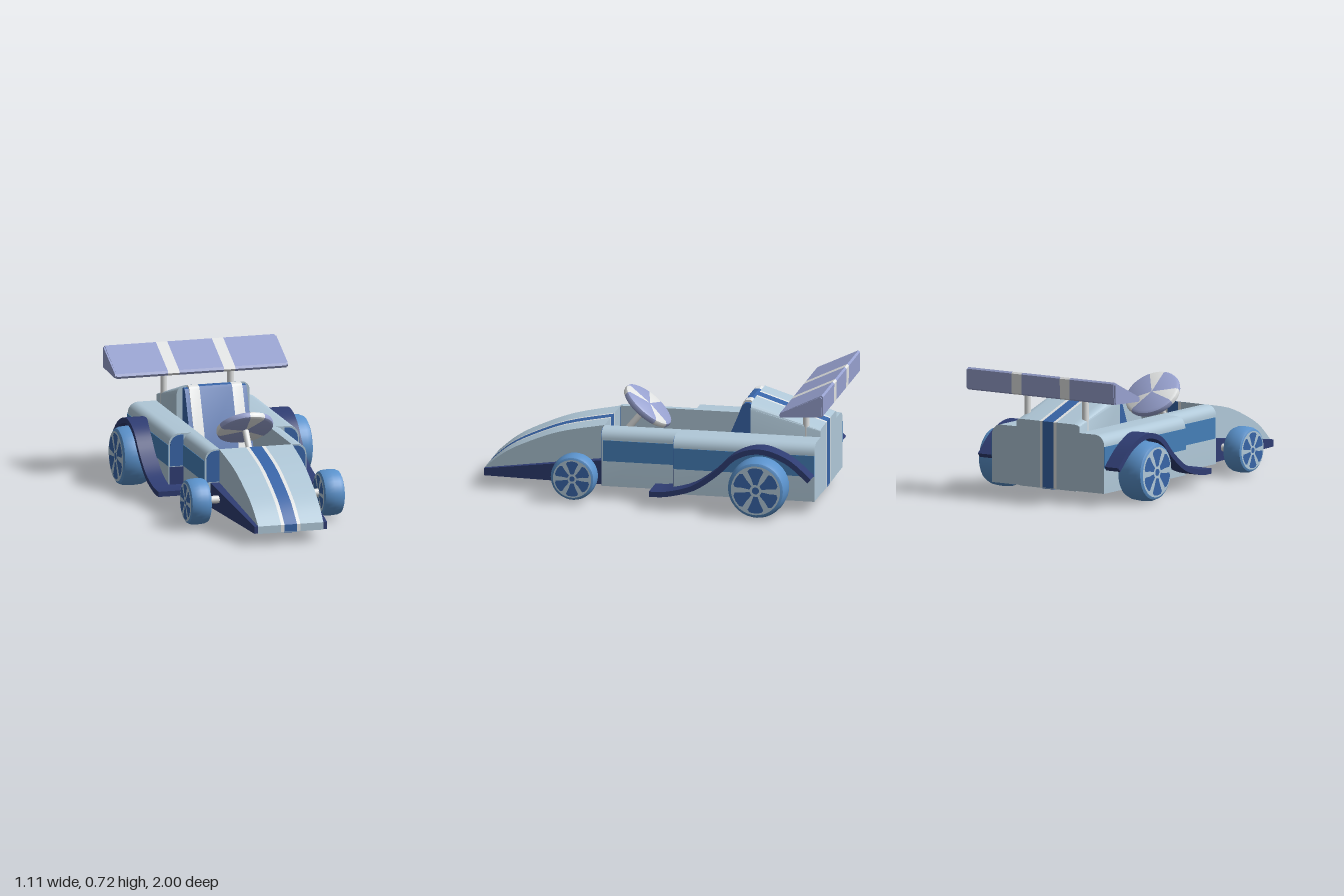
import * as THREE from 'three';
import { toCreasedNormals } from 'three/addons/utils/BufferGeometryUtils.js';

const mat = (name, color) => {
  const m = new THREE.MeshStandardMaterial({ color });
  m.name = name;
  return m;
};

export function createModel() {
  const light = mat('pale blue', 0xb0c8d8), blue = mat('royal blue', 0x3865a8), navy = mat('navy', 0x2f3d73);
  const lavender = mat('lavender', 0x98a2d0), white = mat('off white', 0xe2e4e4);
  const tyreBlue = mat('tyre blue', 0x5a92cc), bandBlue = mat('band blue', 0x457fb8);
  const SIDES = [-1, 1];
  const root = new THREE.Group();
  const car = new THREE.Group();
  car.name = 'car';
  car.position.x = -0.018;
  root.add(car);

  const add = (name, geo, material, parent = car) => {
    const m = new THREE.Mesh(geo, material);
    m.name = name;
    parent.add(m);
    return m;
  };
  const box = (name, material, x0, x1, y0, y1, z0, z1) => {
    const g = new THREE.BoxGeometry(Math.abs(x1 - x0), y1 - y0, z1 - z0);
    g.translate((x0 + x1) / 2, (y0 + y1) / 2, (z0 + z1) / 2);
    return add(name, g, material);
  };
  const toShape = (pts) => new THREE.Shape(pts.map((p) => new THREE.Vector2(p[0], p[1])));
  // move every vertex by a rule, then rebuild normals with sharp edges kept
  const warp = (geo, rule) => {
    const p = geo.attributes.position, v = new THREE.Vector3();
    for (let i = 0; i < p.count; i++) {
      rule(v.fromBufferAttribute(p, i));
      p.setXYZ(i, v.x, v.y, v.z);
    }
    return toCreasedNormals(geo, 0.6);
  };
  // side profile of (z, y) points, extruded across x
  const slab = (pts, xa, xb, rule = () => {}) => {
    const g = new THREE.ExtrudeGeometry(toShape(pts), { depth: Math.abs(xb - xa), bevelEnabled: false });
    g.rotateY(-Math.PI / 2);
    g.translate(Math.max(xa, xb), 0, 0);
    return warp(g, rule);
  };
  // front section of (x, y) points, extruded along z
  const prism = (pts, z0, z1, rule = () => {}) => {
    const g = new THREE.ExtrudeGeometry(toShape(pts), { depth: z1 - z0, bevelEnabled: false });
    g.translate(0, 0, z0);
    return warp(g, rule);
  };
  // half section whose outer top corner is rounded
  const roundedHalf = (s, x0, x1, y0, y1, r) => {
    const pts = [[s * x0, y0], [s * x1, y0]];
    for (let i = 0; i <= 6; i++) {
      const a = (i / 6) * Math.PI / 2;
      pts.push([s * (x1 - r + r * Math.cos(a)), y1 - r + r * Math.sin(a)]);
    }
    pts.push([s * x0, y1]);
    return pts;
  };

  // nose: curved top, tapering sides, centre stripes
  const noseTop = new THREE.SplineCurve([[1, 0.11], [0.9, 0.195], [0.78, 0.262], [0.57, 0.345], [0.31, 0.4]]
    .map((p) => new THREE.Vector2(...p))).getPoints(16).map((p) => [p.x, p.y]);
  const nose = [[1, 0.07], ...noseTop, [0.31, 0.07]];
  const noseHalf = (z) => 0.19 + (1 - z) * 0.033;
  const finHalf = (z) => 0.212 + (1 - z) * 0.075;
  add('noseStripe', slab(nose, -0.036, 0.036), blue);
  for (const s of SIDES) {
    add('noseTrim', slab(nose, s * 0.036, s * 0.056), white);
    add('noseSide', slab(nose, 0, s, (v) => {
      v.x = s * (0.056 + Math.abs(v.x) * (noseHalf(v.z) - 0.056));
    }), light);
    add('noseFin', slab([[1, 0.07], [1, 0.11], [0.31, 0.21], [0.31, 0.07]], 0, s, (v) => {
      v.x = s * (noseHalf(v.z) + Math.abs(v.x) * (finHalf(v.z) - noseHalf(v.z)));
    }), navy);
  }

  // cockpit walls and side pods with blue bands and front panels
  for (const s of SIDES) {
    add('cockpitWall', prism(roundedHalf(s, 0.21, 0.295, 0.07, 0.4, 0.055), -0.12, 0.31), light);
    add('sidePod', prism(roundedHalf(s, 0.21, 0.38, 0.07, 0.4, 0.06), -0.925, -0.12), light);
    add('wallPanel', prism(roundedHalf(s, 0.205, 0.288, 0.215, 0.392, 0.055), 0.31, 0.315), blue);
    add('podPanel', prism(roundedHalf(s, 0.295, 0.372, 0.215, 0.392, 0.06), -0.12, -0.115), blue);
    box('podLowerPanel', navy, s * 0.295, s * 0.376, 0.075, 0.21, -0.12, -0.115);
    box('wallBand', bandBlue, s * 0.294, s * 0.298, 0.215, 0.335, -0.12, 0.3);
    box('podBand', bandBlue, s * 0.379, s * 0.383, 0.215, 0.335, -0.925, -0.12);
  }
  box('cockpitFloor', light, -0.21, 0.21, 0.07, 0.11, -0.53, 0.31);
  box('underPlate', light, -0.19, 0.19, 0.067, 0.07, -0.925, 0.999);
  box('underStripe', blue, -0.036, 0.036, 0.064, 0.067, -0.925, 0.999);

  // engine cover, sloping down to the tail
  const slope = (v) => {
    if (v.y > 0.4) v.y = 0.4 + (v.y - 0.4) * (1 - 0.743 * (-0.525 - v.z) / 0.4);
  };
  const cover = (name, pts, m) => add(name, prism(pts, -0.925, -0.525, slope), m);
  cover('coverStripe', [[-0.036, 0.07], [0.036, 0.07], [0.036, 0.575], [-0.036, 0.575]], blue);
  for (const s of SIDES) {
    cover('coverTrim', [[s * 0.036, 0.07], [s * 0.056, 0.07], [s * 0.056, 0.575], [s * 0.036, 0.575]], white);
    cover('coverSide', roundedHalf(s, 0.056, 0.213, 0.07, 0.575, 0.05), light);
  }

  // seat with white stripes
  const seat = [[0.04, 0.11], [0.04, 0.215], [0.025, 0.23], [-0.335, 0.22], [-0.47, 0.56], [-0.482, 0.574],
    [-0.51, 0.578], [-0.528, 0.565], [-0.525, 0.11]];
  const seatEdge = seat.map(([z, y]) => [z, y > 0.55 ? y - 0.012 : y]);
  add('seatCentre', slab(seat, -0.095, 0.095), blue);
  for (const s of SIDES) {
    add('seatStripe', slab(seat, s * 0.095, s * 0.155), white);
    add('seatEdge', slab(seatEdge, s * 0.155, s * 0.18), blue);
  }

  // steering wheel of alternating sectors on a raked column
  const steering = new THREE.Group();
  steering.name = 'steering';
  steering.position.set(-0.004, 0.465, 0.11);
  steering.rotation.x = -0.69;
  car.add(steering);
  const D = Math.PI / 180;
  const profile = [[0, -0.022], [0.145, -0.022], [0.158, -0.014], [0.162, 0], [0.158, 0.014], [0.145, 0.022], [0, 0.022]]
    .map((p) => new THREE.Vector2(...p));
  const spokes = [-75, 50, 180], half = 17;
  spokes.forEach((a, i) => {
    const next = spokes[(i + 1) % 3] + (i === 2 ? 360 : 0);
    // lathe angle 0 points to +z, so screen angles are turned by a quarter
    const sector = (name, from, to, m) => add(name, toCreasedNormals(
      new THREE.LatheGeometry(profile, 14, (from + 90) * D, (to - from) * D), 0.6), m, steering);
    sector('steeringSpoke', a - half, a + half, white);
    sector('steeringSector', a + half, next - half, lavender);
  });
  const column = new THREE.CylinderGeometry(0.018, 0.018, 0.32, 16);
  column.translate(0, -0.16, 0);
  add('steeringColumn', column, white, steering);

  // rear wing on two struts
  const wing = [[-0.755, 0.58], [-0.99, 0.592], [-0.998, 0.6], [-1, 0.71], [-0.99, 0.719], [-0.755, 0.607], [-0.748, 0.593]];
  const wingTip = wing.map(([z, y]) => [-0.875 + (z + 0.875) * 0.96, 0.63 + (y - 0.63) * 0.92]);
  add('wingCentre', slab(wing, -0.13, 0.13), lavender);
  for (const s of SIDES) {
    add('wingStripe', slab(wing, s * 0.13, s * 0.196), white);
    add('wingOuter', slab(wing, s * 0.196, s * 0.495), lavender);
    add('wingTip', slab(wingTip, s * 0.495, s * 0.504), lavender);
    const strut = add('wingStrut', new THREE.CylinderGeometry(0.019, 0.019, 0.24, 16), white);
    strut.position.set(s * 0.195, 0.48, -0.84);
  }

  // swept rear fenders
  const path = new THREE.SplineCurve([[0, 0.087], [-0.1, 0.092], [-0.25, 0.135], [-0.38, 0.225], [-0.48, 0.32],
    [-0.58, 0.362], [-0.68, 0.36], [-0.8, 0.31], [-0.915, 0.212]].map((p) => new THREE.Vector2(...p)));
  const upper = [], lower = [];
  for (let i = 0; i <= 32; i++) {
    const p = path.getPoint(i / 32), t = path.getTangent(i / 32);
    upper.push([p.x + t.y * 0.015, p.y - t.x * 0.015]);
    lower.unshift([p.x - t.y * 0.015, p.y + t.x * 0.015]);
  }
  for (const s of SIDES) add('rearFender', slab([...upper, ...lower], s * 0.29, s * 0.475), navy);

  // wheels: rounded tyre, pale hub and six petals on each face
  const petal = toShape([[0.2, -0.07], [0.45, -0.16], [0.66, -0.27], [0.75, -0.2], [0.78, 0], [0.75, 0.2],
    [0.66, 0.27], [0.45, 0.16], [0.2, 0.07]]);
  const wheel = (name, x, y, z, r, w) => {
    const g = new THREE.Group();
    g.name = name;
    g.position.set(x, y, z);
    car.add(g);
    const h = w / 2;
    const tyre = new THREE.LatheGeometry([[0, -h], [0.82 * r, -h], [0.92 * r, -h * 0.9], [0.98 * r, -h * 0.6], [r, 0],
      [0.98 * r, h * 0.6], [0.92 * r, h * 0.9], [0.82 * r, h], [0, h]].map((p) => new THREE.Vector2(...p)), 36);
    tyre.rotateZ(-Math.PI / 2);
    add('tyre', toCreasedNormals(tyre, 0.7), tyreBlue, g);
    for (const s of SIDES) {
      const face = new THREE.Group();
      face.name = 'hubFace';
      face.position.x = s * (h + 0.001);
      face.rotation.y = s * Math.PI / 2;
      g.add(face);
      add('hub', new THREE.CircleGeometry(0.84 * r, 36), light, face);
      const centre = add('hubCentre', new THREE.CircleGeometry(0.12 * r, 18), blue, face);
      centre.position.z = 0.002;
      for (let i = 0; i < 6; i++) {
        const p = add('hubPetal', new THREE.ShapeGeometry(petal), blue, face);
        p.scale.set(r, r, 1);
        p.position.z = 0.002;
        p.rotation.z = (i + 0.5) * Math.PI / 3;
      }
    }
  };
  for (const s of SIDES) {
    wheel('frontWheel', s * 0.388, 0.143, 0.445, 0.13, 0.121);
    wheel('rearWheel', 0.018 + s * 0.471, 0.168, -0.63, 0.168, 0.165);
    const axle = new THREE.CylinderGeometry(0.022, 0.022, 0.2, 16);
    axle.rotateZ(Math.PI / 2);
    add('frontAxle', axle, white).position.set(s * 0.27, 0.143, 0.435);
  }
  return root;
}
